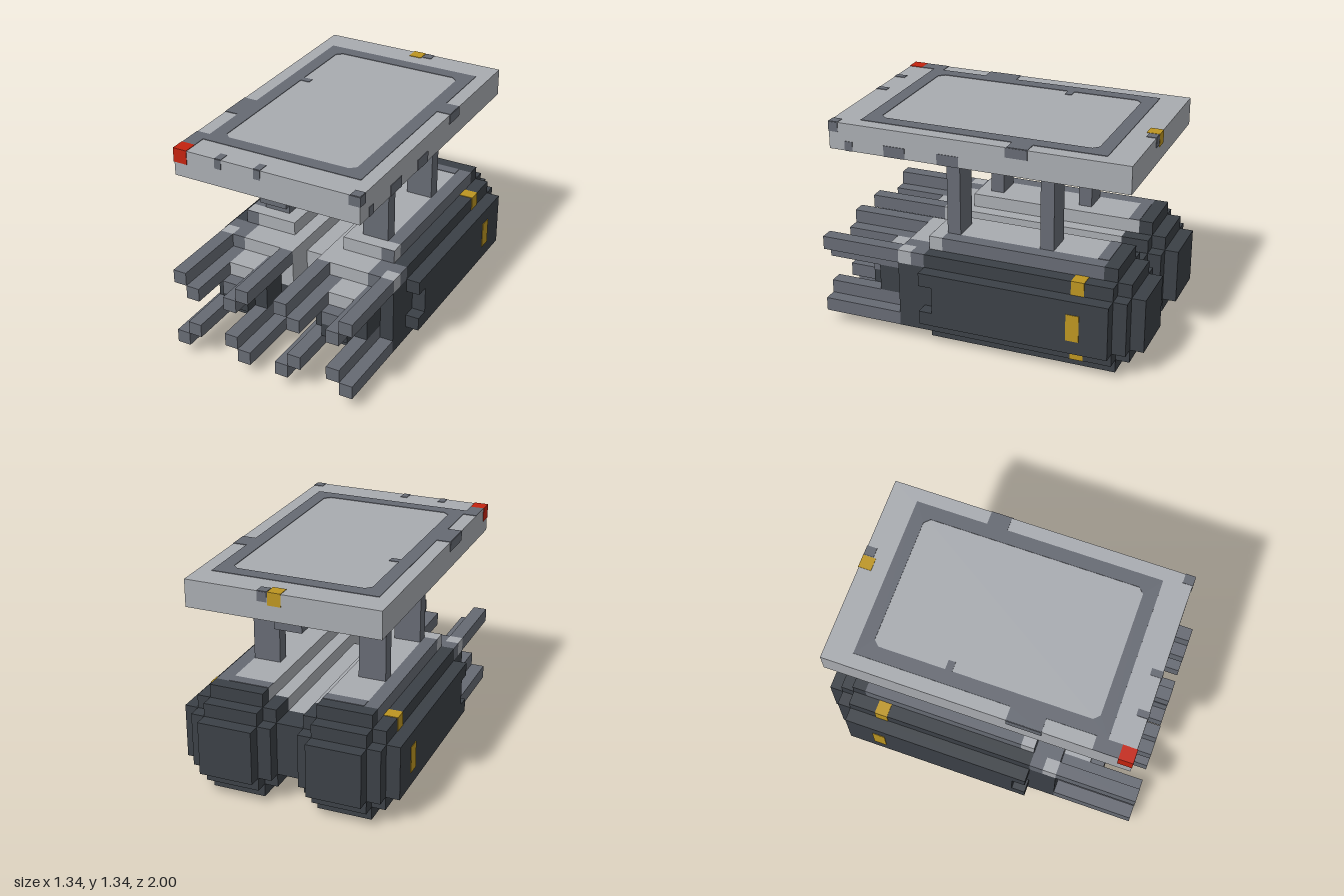
import * as THREE from 'three';

const U = 1 / 12; // one grid cell
const T = 0.04;   // how far painted plates stand out, in cells

export function createModel() {
  const model = new THREE.Group();
  model.name = 'twinPodLauncher';
  const mat = (name, color) => {
    const m = new THREE.MeshStandardMaterial({ color });
    m.name = name;
    return m;
  };
  const light = mat('lightGrey', 0xa8abb0), grey = mat('midGrey', 0x666a73);
  const dark = mat('darkGrey', 0x3b4046), yellow = mat('yellow', 0xbc9521), red = mat('red', 0xc3230f);

  // Box from its limits in cells
  const box = (parent, name, m, x0, x1, y0, y1, z0, z1) => {
    const mesh = new THREE.Mesh(new THREE.BoxGeometry((x1 - x0) * U, (y1 - y0) * U, (z1 - z0) * U), m);
    mesh.position.set((x0 + x1) / 2 * U, (y0 + y1) / 2 * U, (z0 + z1) / 2 * U);
    mesh.name = name;
    parent.add(mesh);
  };
  const group = (name) => {
    const g = new THREE.Group();
    g.name = name;
    model.add(g);
    return g;
  };

  for (const s of [1, -1]) {
    const side = s > 0 ? 'left' : 'right';
    const pod = group(side + 'Pod');
    const part = (name, m, x0, x1, ...r) => box(pod, name, m, s > 0 ? x0 : -x1, s > 0 ? x1 : -x0, ...r);

    // Dark lower hull in stepped rows
    part('hullBottom', dark, 2, 6, 0, 1, -10, 4);
    part('hullLower', dark, 1, 7, 1, 2, -10, 6);
    part('hullInnerLow', dark, 0, 1, 2, 4, -10, 4);
    part('hullMiddleLow', dark, 1, 7, 2, 4, -10, 6);
    part('hullMiddleHigh', dark, 2, 7, 4, 6, -10, 6);
    part('hullInnerRear', dark, 0, 2, 4, 6, -10, -8);
    part('hullOuter', dark, 7, 8, 2, 6, -10, 3);
    for (const y of [2, 5]) part('outerLip', dark, 7, 8, y, y + 1, 3, 4);

    // Light inner deck and grey edges
    part('bridge', light, 0, 1, 4, 6, -8, 4);
    part('bridgeShoulder', light, 1, 2, 4, 6, -8, 6);
    part('upperDeck', light, 1, 5, 6, 7, -8, 6);
    part('upperDeckRear', dark, 1, 5, 6, 7, -10, -8);
    part('upperSide', dark, 5, 7, 6, 7, -10, 4);
    part('upperSideBand', grey, 5, 7, 6, 7, 4, 5);
    part('upperSideTip', light, 6, 7, 6, 7, 5, 6);
    part('upperSideTipInner', grey, 5, 6, 6, 7, 5, 6);
    part('roof', light, 2, 5, 7, 8, -9, 4);
    part('roofEdge', grey, 5, 6, 7, 8, -9, 3);
    part('roofEdgeTip', light, 5, 6, 7, 8, 3, 4 - T);
    part('roofEdgeFront', grey, 5, 6, 7, 8, 4 - T, 4);
    part('roofRear', dark, 2, 6, 7, 8, -10, -9);
    part('roofRearMark', grey, 2, 5, 8, 8 + T, -9, -8.2);

    // Stepped tail
    part('tailWide', dark, 1, 7, 2, 6, -11, -10);
    for (const y of [1, 6]) part('tailTall', dark, 2, 6, y, y + 1, -11, -10);
    part('tailCap', dark, 2, 6, 2, 6, -12, -11);

    // Nose and hub
    part('nose', dark, 2, 6, 3, 5, 6, 8);
    part('noseBottom', dark, 3, 5, 2, 3, 6, 8);
    part('noseTop', light, 3, 5, 5, 6, 6, 8);
    part('hubLower', dark, 3, 5, 3, 4, 8, 9);
    part('hubUpper', grey, 3, 5, 4, 5, 8, 9);

    // Front rods in diagonal pairs
    for (const [x, y] of [[6, 6], [5, 5], [1, 6], [2, 5], [6, 1], [5, 2], [1, 1], [2, 2]])
      part('frontRod', grey, x, x + 1, y, y + 1, 6, 12);

    // Yellow band marks
    part('yellowMark', yellow, 7, 7 + T, 6, 7, -7.95, -7);
    part('yellowMark', yellow, 6, 7 + T, 7, 7 + T, -7.95, -7);
    part('yellowMark', yellow, 8, 8 + T, 3, 5, -7.95, -7);
    part('yellowMark', yellow, 7, 7 + T, 1, 2, -7.95, -7);
    part('yellowMark', yellow, 1 - T, 1, 1, 2, -7.95, -7);
    part('yellowMark', yellow, 3, 5, -T / 8, 0.02, -7.95, -7);

    // Posts
    for (const z of [2, -5]) part('post', grey, 3, 5, 8, 14, z, z + 1);
  }

  // Roof panel and the beam under it
  const panel = group('topPanel');
  box(panel, 'panelSlab', light, -7, 7, 14, 16, -11, 11);
  box(panel, 'panelBeam', grey, -1, 1, 13, 14, -10, 10);

  // Grey frame line on the panel
  const ring = new THREE.Shape([[-6, -9], [6, -9], [6, 9], [-6, 9]].map(([x, y]) => new THREE.Vector2(x * U, y * U)));
  ring.holes.push(new THREE.Path([[-5, -7.6], [-4.6, -8], [4.6, -8], [5, -7.6], [5, 7.6], [4.6, 8], [-4.6, 8], [-5, 7.6]]
    .map(([x, y]) => new THREE.Vector2(x * U, y * U))));
  const frame = new THREE.Mesh(new THREE.ExtrudeGeometry(ring, { depth: T * U, bevelEnabled: false }), grey);
  frame.rotation.x = -Math.PI / 2;
  frame.position.y = 16 * U;
  frame.name = 'frameLine';
  panel.add(frame);

  // Worn patches on the panel top: x0, x1, z0, z1
  for (const [a, b, c, d] of [[6, 7, -3.8, -2.3], [-7, -6, 2.2, 4.7], [-7, -6, 8.2, 10], [-5, -4.3, -2.8, -2.3],
    [1, 1.7, -11, -10.3], [-3.8, -3.3, 10.2, 11], [-0.8, -0.3, 10.2, 11], [6.3, 7, 10.3, 11]])
    box(panel, 'wornTop', grey, a, b, 16, 16 + T, c, d);
  // Worn patches on the front edge: x0, x1
  for (const [a, b] of [[-3.8, -3.3], [-0.8, -0.3], [6.2, 7]])
    box(panel, 'wornFront', grey, a, b, 15.3, 16, 11, 11 + T);
  // Worn patches on the left edge: y0, y1, z0, z1
  for (const [a, b, c, d] of [[15.3, 16, 10.3, 11], [15.3, 16, -3.8, -2.2], [14, 14.7, 9.2, 9.8],
    [14, 14.8, 5.2, 6.8], [14, 14.8, 1.2, 2.8]])
    box(panel, 'wornLeft', grey, 7, 7 + T, a, b, c, d);
  box(panel, 'wornRight', grey, -7 - T, -7, 15.3, 16, 2.2, 4.7);
  box(panel, 'wornBack', grey, 1, 1.7, 15.3, 16, -11 - T, -11);

  // Yellow tab at the back and red corner lamp
  box(panel, 'yellowTab', yellow, 0, 0.95, 15.1, 16 + T, -11 - T, -10.1);
  box(panel, 'redCorner', red, -7 - T, -6, 15, 16 + T, 10, 11 + T);
  return model;
}
